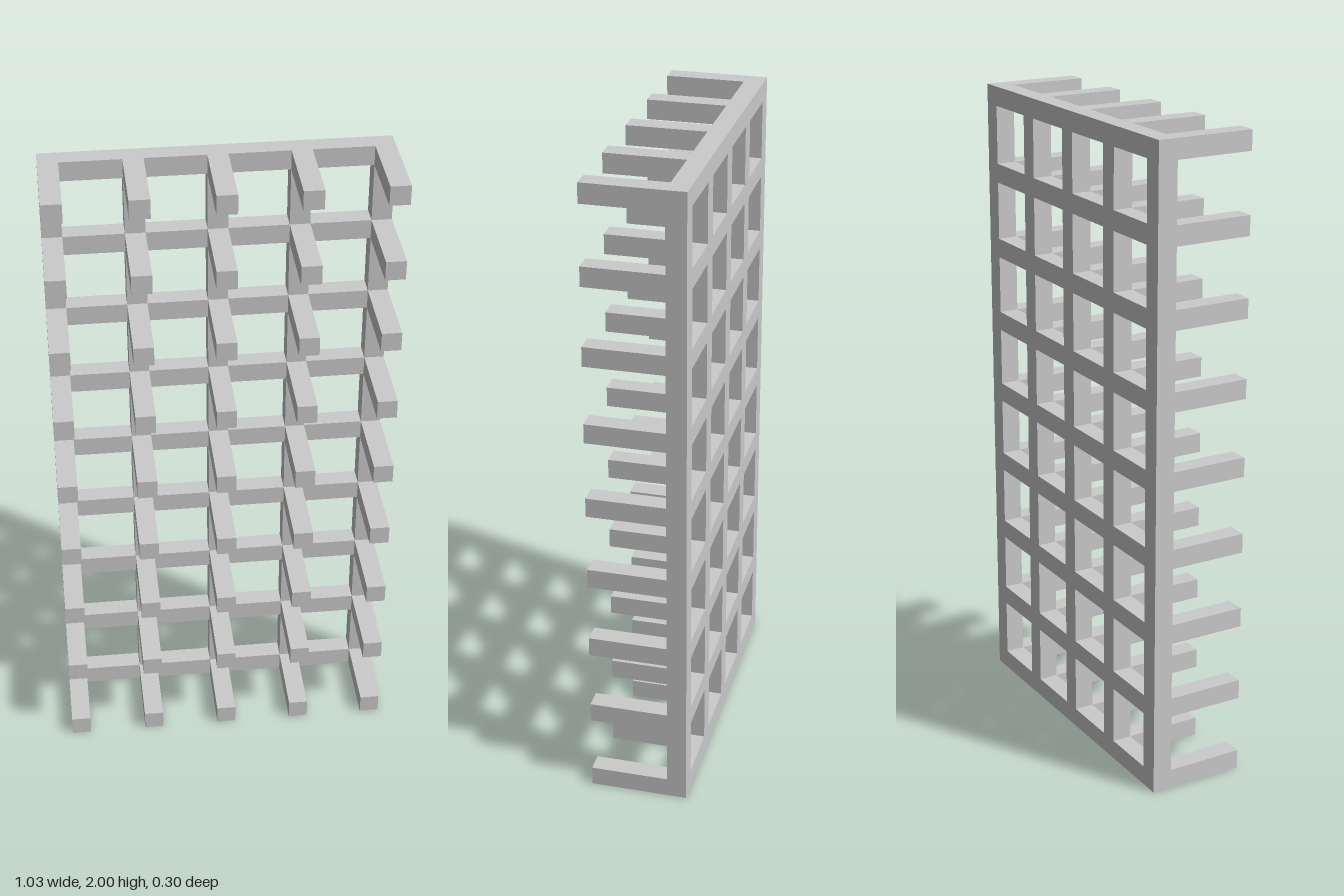
import * as THREE from 'three';

const U = 2 / 33;        // bar thickness
const PITCH = 4 * U;     // spacing between bar centres
const COLS = 5, ROWS = 9;
const WIDTH = (COLS - 1) * PITCH + U;
const HEIGHT = (ROWS - 1) * PITCH + U;
const DEPTH = 5 * U;

function rectangle(target, x, y, w, h) {
  target.moveTo(x, y);
  target.lineTo(x + w, y);
  target.lineTo(x + w, y + h);
  target.lineTo(x, y + h);
  target.closePath();
  return target;
}

export function createModel() {
  const model = new THREE.Group();
  model.name = 'pegLattice';
  const material = new THREE.MeshStandardMaterial({ color: 0xcccccc, flatShading: true });

  // Back lattice: one plate pierced by a square opening in every cell
  const plate = rectangle(new THREE.Shape(), -WIDTH / 2, 0, WIDTH, HEIGHT);
  for (let c = 0; c < COLS - 1; c++) {
    for (let r = 0; r < ROWS - 1; r++) {
      plate.holes.push(rectangle(new THREE.Path(),
        -WIDTH / 2 + U + c * PITCH, U + r * PITCH, PITCH - U, PITCH - U));
    }
  }
  const lattice = new THREE.Mesh(
    new THREE.ExtrudeGeometry(plate, { depth: U, bevelEnabled: false }), material);
  lattice.name = 'backLattice';
  lattice.position.z = -DEPTH / 2;
  model.add(lattice);

  // Pegs: one square bar reaching forward from every crossing
  const pegs = new THREE.Group();
  pegs.name = 'pegs';
  const pegGeometry = new THREE.BoxGeometry(U, U, DEPTH - U);
  for (let c = 0; c < COLS; c++) {
    for (let r = 0; r < ROWS; r++) {
      const peg = new THREE.Mesh(pegGeometry, material);
      peg.name = 'peg';
      peg.position.set((c - (COLS - 1) / 2) * PITCH, U / 2 + r * PITCH, U / 2);
      pegs.add(peg);
    }
  }
  model.add(pegs);
  return model;
}
